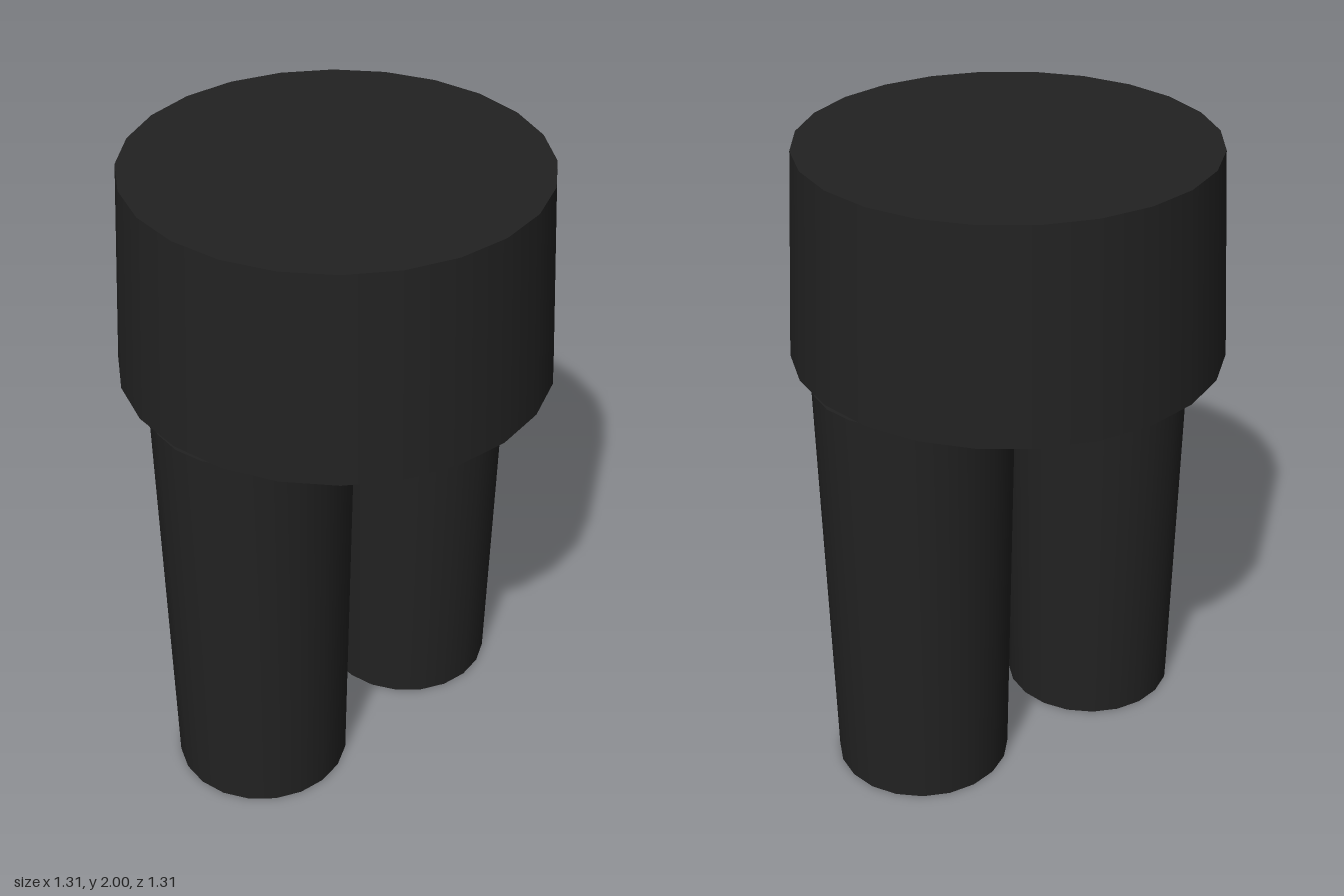
import * as THREE from 'three';

export function createModel() {
  const model = new THREE.Group();
  model.name = 'trousers';

  const charcoal = new THREE.MeshStandardMaterial({ color: 0x222222 });
  charcoal.name = 'charcoal cloth';

  // Upright tapered cylinder spanning y0 to y1
  const addTaper = (name, rTop, rBottom, y0, y1, x, sides) => {
    const mesh = new THREE.Mesh(
      new THREE.CylinderGeometry(rTop, rBottom, y1 - y0, sides), charcoal);
    mesh.name = name;
    mesh.position.set(x, (y0 + y1) / 2, 0);
    model.add(mesh);
  };

  // Hips, flaring slightly downwards
  addTaper('hips', 0.62, 0.655, 1.36, 2, 0, 24);

  // Legs, narrowing towards the ankle, with a small gap below the hips
  for (const [name, side] of [['leftLeg', 1], ['rightLeg', -1]]) {
    addTaper(name, 0.3, 0.275, 0, 1.345, side * 0.35, 20);
  }

  return model;
}
